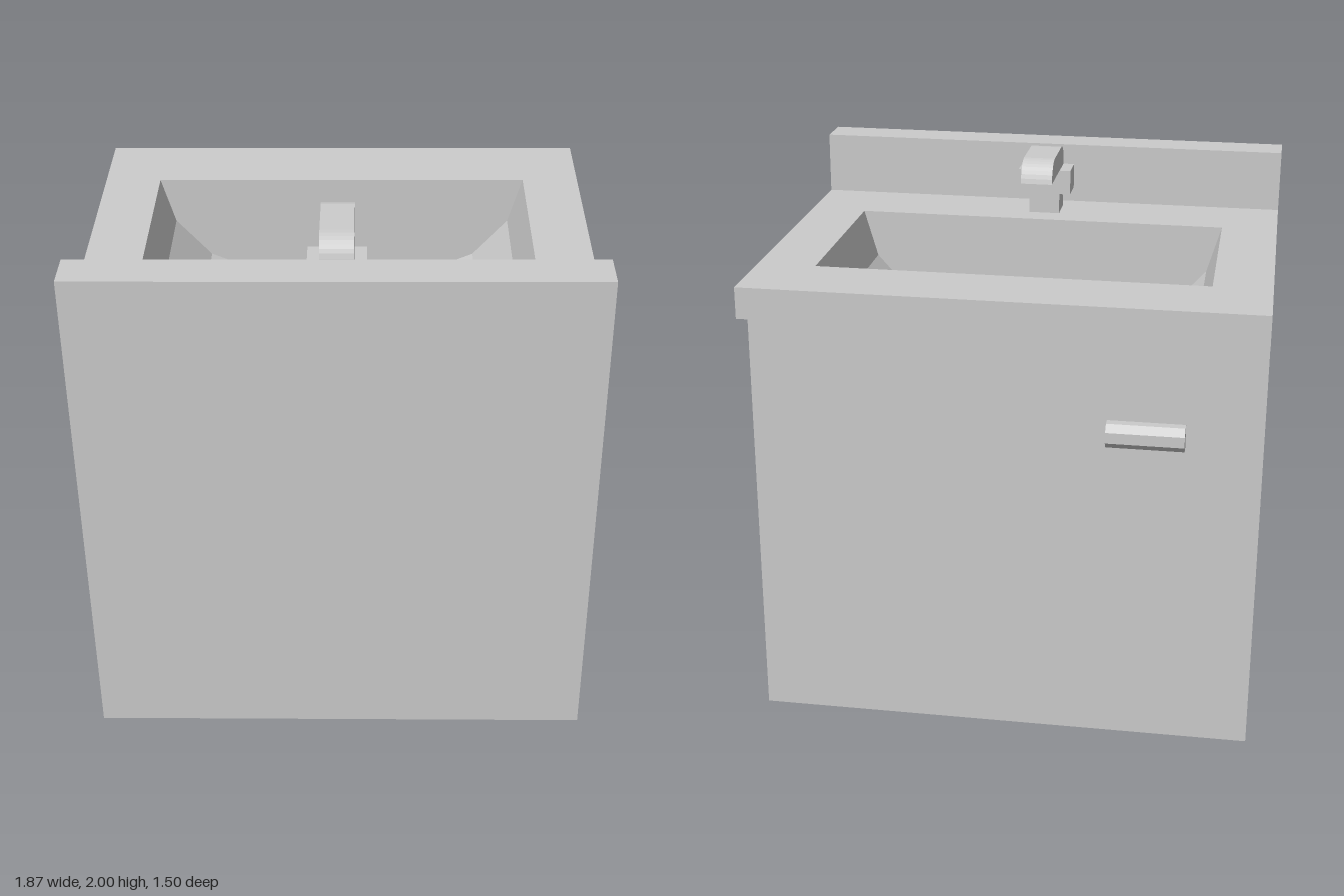
import * as THREE from 'three';

const material = new THREE.MeshStandardMaterial({ color: 0xcccccc, flatShading: true, side: THREE.DoubleSide });

function add(parent, name, geometry) {
  const mesh = new THREE.Mesh(geometry, material);
  mesh.name = name;
  parent.add(mesh);
  return mesh;
}

// Box given by its lower and upper corners
function box([x0, y0, z0], [x1, y1, z1]) {
  return new THREE.BoxGeometry(x1 - x0, y1 - y0, z1 - z0)
    .translate((x0 + x1) / 2, (y0 + y1) / 2, (z0 + z1) / 2);
}

// Extrudes a (z, y) profile sideways from x0 to x1
function extrudeX(shape, x0, x1) {
  return new THREE.ExtrudeGeometry(shape, { depth: x1 - x0, bevelEnabled: false, curveSegments: 8 })
    .rotateY(-Math.PI / 2).translate(x1, 0, 0);
}

const toShape = (points) => new THREE.Shape(points.map(([x, y]) => new THREE.Vector2(x, y)));

export function createModel() {
  const W = 0.925, DECK = 1.732, LIP = 1.617;
  const model = new THREE.Group();
  model.name = 'washstand';

  // The whole unit leans very slightly to one side
  const unit = new THREE.Group();
  unit.name = 'sinkUnit';
  unit.position.set(0.005, 0.0105, 0);
  unit.rotation.z = 0.0077;
  model.add(unit);

  // Cabinet, open at the top where the basin hangs in
  const cabinet = box([-W, 0, -0.62], [W, LIP, 0.75]);
  const index = Array.from(cabinet.index.array);
  index.splice(12, 6); // top face
  cabinet.setIndex(index);
  cabinet.clearGroups();
  add(unit, 'cabinet', cabinet);

  // Countertop with a rectangular opening
  const bx = 0.7125, bz0 = -0.46, bz1 = 0.3;
  const top = toShape([[-W, -0.75], [W, -0.75], [W, 0.75], [-W, 0.75]]);
  top.holes.push(toShape([[-bx, bz0], [-bx, bz1], [bx, bz1], [bx, bz0]]));
  add(unit, 'countertop', new THREE.ExtrudeGeometry(top, { depth: DECK - LIP, bevelEnabled: false })
    .rotateX(Math.PI / 2).translate(0, DECK, 0));

  // Trough-shaped basin: faceted floor and two upright walls
  const half = [[bx, 0], [0.66, 0.18], [0.525, 0.33], [0.335, 0.41], [0.11, 0.43]];
  const section = [
    ...half.map(([x, d]) => [-x, DECK - d]),
    ...half.map(([x, d]) => [x, DECK - d]).reverse(),
  ];
  const n = section.length;
  const floor = new THREE.PlaneGeometry(1, 1, n - 1, 1);
  for (let i = 0; i < 2 * n; i++) {
    const [x, y] = section[i % n];
    floor.attributes.position.setXYZ(i, x, y, i < n ? bz0 : bz1);
  }
  floor.computeVertexNormals();
  add(unit, 'basinFloor', floor);
  add(unit, 'basinFrontWall', new THREE.ShapeGeometry(toShape(section)).translate(0, 0, bz0));
  add(unit, 'basinRearWall', new THREE.ShapeGeometry(toShape(section)).rotateY(Math.PI).translate(0, 0, bz1));

  // Backsplash along the wall side
  add(unit, 'backsplash', box([-W, DECK, 0.6], [W, 1.965, 0.75]));

  // Faucet: stem, wider tap block and curved spout
  const faucet = new THREE.Group();
  faucet.name = 'faucet';
  unit.add(faucet);
  add(faucet, 'stem', box([-0.06, DECK, 0.4], [0.06, 1.81, 0.52]));
  add(faucet, 'tapBlock', box([-0.103, 1.81, 0.4], [0.103, 1.905, 0.52]));
  const spout = new THREE.Shape();
  spout.moveTo(0.165, 1.907);
  spout.lineTo(0.4, 1.907);
  spout.lineTo(0.4, 1.904);
  spout.lineTo(0.525, 1.904);
  spout.quadraticCurveTo(0.52, 1.99, 0.435, 1.99);
  spout.lineTo(0.245, 1.99);
  spout.quadraticCurveTo(0.18, 1.985, 0.165, 1.907);
  add(faucet, 'spout', extrudeX(spout, -0.06, 0.06));

  // Door handle with chamfered front edges
  add(unit, 'handle', extrudeX(toShape([
    [-0.62, 1.18], [-0.62, 1.27], [-0.655, 1.27], [-0.68, 1.245], [-0.68, 1.205], [-0.655, 1.18],
  ]), -0.65, -0.37));

  return model;
}
